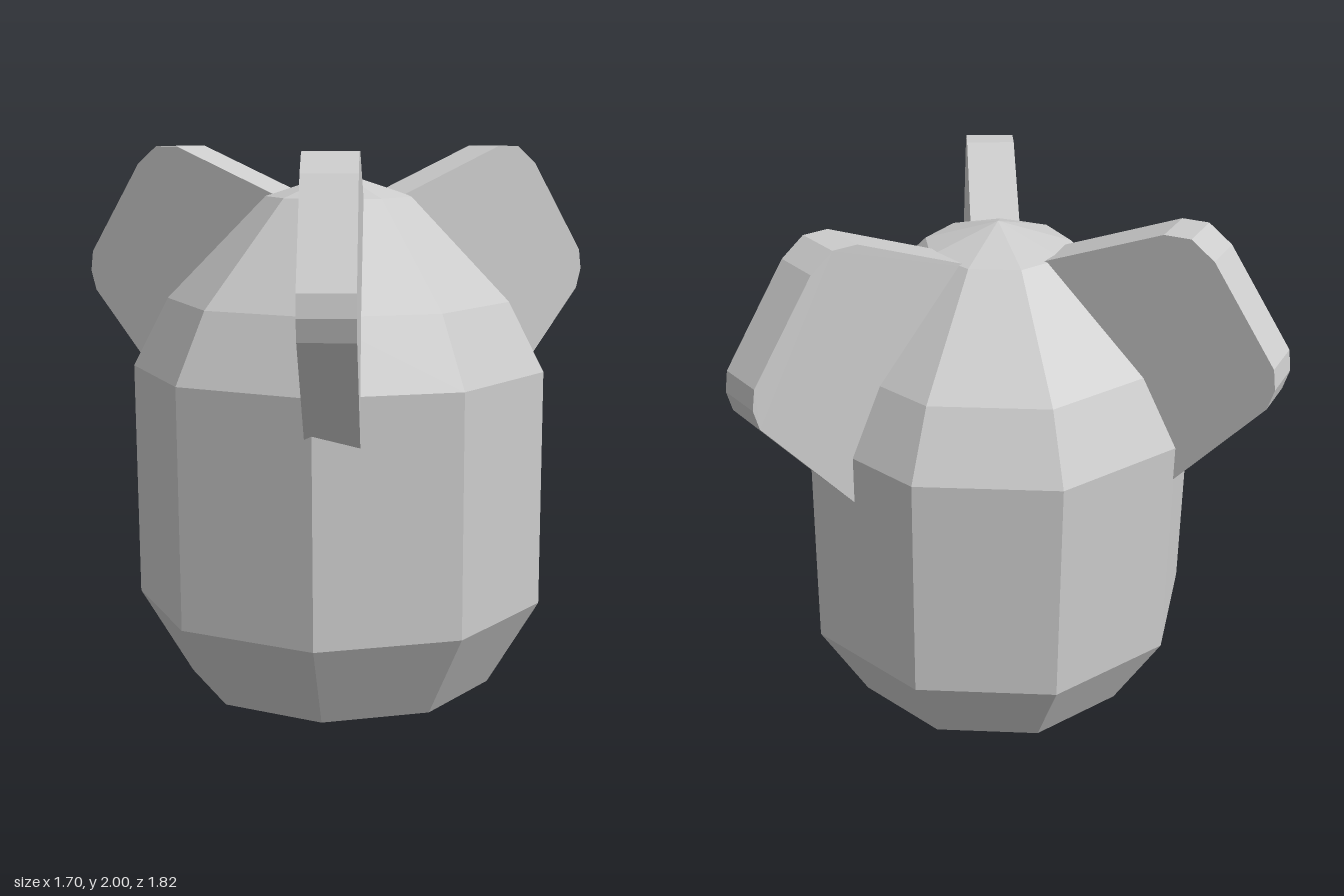
import * as THREE from 'three';

export function createModel() {
  const model = new THREE.Group();
  const material = new THREE.MeshStandardMaterial({ color: 0xcccccc, flatShading: true });
  const vectors = (pairs) => pairs.map(([x, y]) => new THREE.Vector2(x, y));

  // Everything is arranged around the body's vertical axis
  const assembly = new THREE.Group();
  assembly.name = 'finnedPod';
  assembly.position.set(-0.16, 0, 0.025);
  model.add(assembly);

  // Nine-sided body, radius and height from the bottom tip to the top tip
  const bodyProfile = vectors([
    [0, 0], [0.53, 0.17], [0.705, 0.47], [0.705, 1.27], [0.585, 1.5], [0.25, 1.84], [0, 1.92],
  ]);
  const body = new THREE.Mesh(new THREE.LatheGeometry(bodyProfile, 9), material);
  body.name = 'body';
  assembly.add(body);

  // Fin outline: distance from the axis and height, its root buried in the body
  const finOutline = vectors([
    [0.06, 1.785], [0.45, 0.87], [0.99, 1.48], [1.01, 1.55],
    [1.0, 1.62], [0.78, 1.94], [0.7, 2.0], [0.61, 2.0],
  ]);
  const thickness = 0.17;
  const finGeometry = new THREE.ExtrudeGeometry(new THREE.Shape(finOutline), {
    depth: thickness, bevelEnabled: false,
  });
  finGeometry.translate(0, 0, -thickness / 2);

  // Three fins around the shoulder, slightly uneven in spacing
  const fins = { leftFin: 0, backRightFin: 116.8, frontRightFin: -125 };
  for (const [name, degrees] of Object.entries(fins)) {
    const fin = new THREE.Mesh(finGeometry, material);
    fin.name = name;
    fin.rotation.y = THREE.MathUtils.degToRad(degrees);
    assembly.add(fin);
  }

  return model;
}
